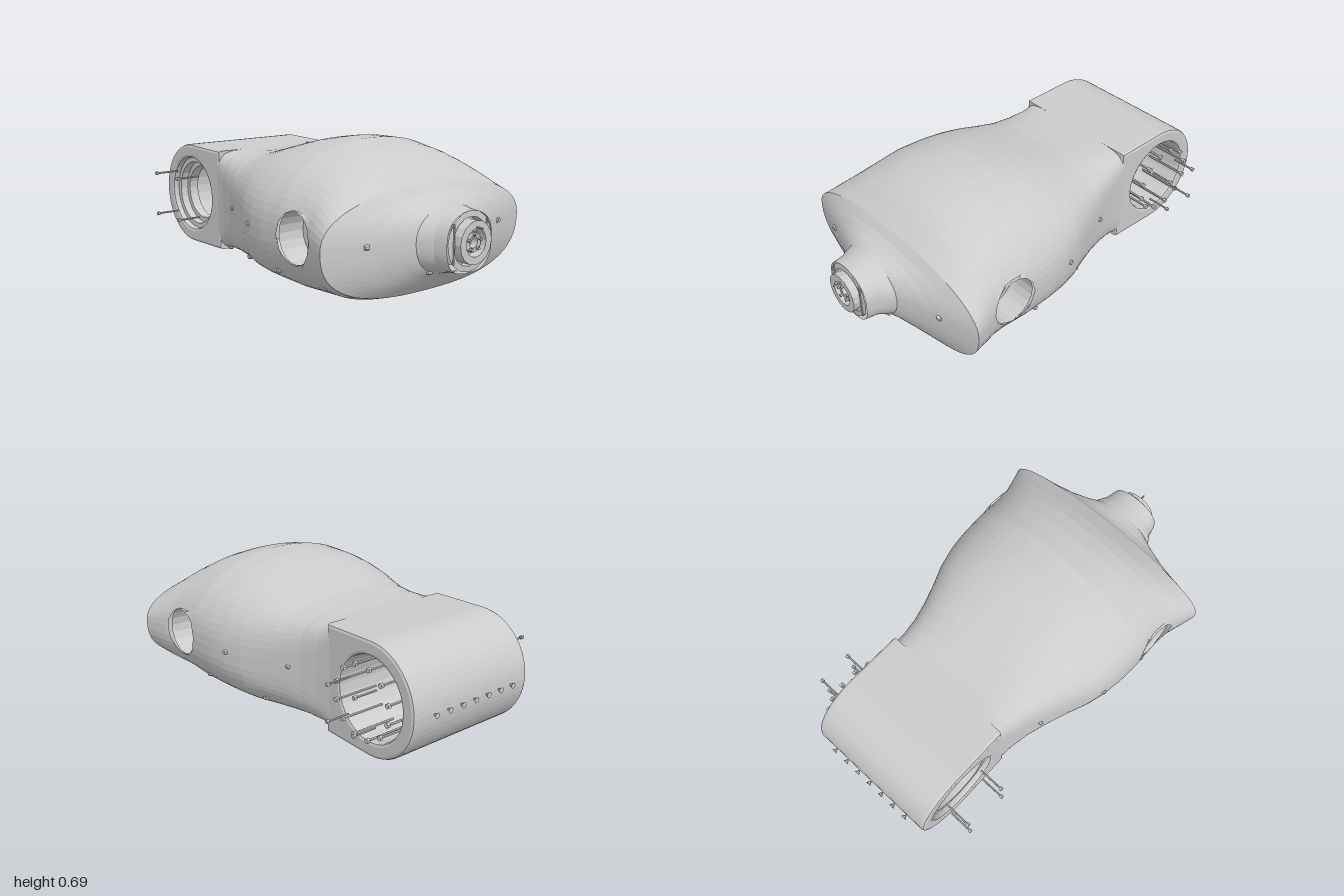
import * as THREE from 'three';

const material = new THREE.MeshStandardMaterial({ color: 0xcccccc, flatShading: true, side: THREE.DoubleSide });
const MID = 0.325;
const HIP = { x: -0.72, y: 0.32 };
const SHOULDER = { x: 0.44, y: MID, r: 0.115 };

// torso stations: x, bottom, top, half depth, squareness
const STATIONS = [
  [-0.48, 0.065, 0.575, 0.338, 9], [-0.4, 0.065, 0.573, 0.35, 5.5], [-0.3, 0.055, 0.58, 0.375, 4],
  [-0.2, 0.04, 0.592, 0.41, 3.2], [-0.1, 0.028, 0.62, 0.45, 2.8], [0, 0.015, 0.65, 0.495, 2.5],
  [0.1, 0.008, 0.677, 0.525, 2.3], [0.2, 0.004, 0.693, 0.54, 2.2], [0.33, 0.003, 0.695, 0.545, 2.2],
  [0.46, 0.01, 0.67, 0.542, 2.2], [0.54, 0.018, 0.64, 0.55, 2.2], [0.6, 0.028, 0.605, 0.568, 2.2],
  [0.69, 0.06, 0.535, 0.597, 2.2], [0.72, 0.085, 0.5, 0.48, 2.1], [0.75, 0.11, 0.482, 0.36, 2],
  [0.78, 0.14, 0.472, 0.265, 2], [0.81, 0.165, 0.465, 0.19, 2], [0.87, 0.186, 0.456, 0.15, 2.2],
  [0.93, 0.19, 0.45, 0.135, 2.4],
];

function station(x) {
  let k = 0;
  while (k < STATIONS.length - 2 && STATIONS[k + 1][0] < x) k++;
  const a = STATIONS[k], b = STATIONS[k + 1];
  const t = THREE.MathUtils.clamp((x - a[0]) / (b[0] - a[0]), 0, 1);
  return a.map((v, i) => THREE.MathUtils.lerp(v, b[i], t));
}

function surfacePoint(x, angle) {
  const [, bottom, top, depth, n] = station(x);
  const c = Math.cos(angle), s = Math.sin(angle);
  const e = 2 / (s < 0 ? n + 0.35 : n);
  const power = (v) => Math.sign(v) * Math.pow(Math.abs(v), e);
  return new THREE.Vector3(x, MID + power(s) * (s < 0 ? MID - bottom : top - MID), depth * power(c));
}

function add(parent, name, geometry, x = 0, y = 0, z = 0) {
  const mesh = new THREE.Mesh(geometry, material);
  mesh.name = name;
  mesh.position.set(x, y, z);
  parent.add(mesh);
  return mesh;
}

// lofted shell, opened where the shoulder sockets pass through
function torsoGeometry() {
  const rows = 47, segments = 64;
  const positions = [], inside = [], index = [];
  for (let i = 0; i <= rows; i++) {
    for (let j = 0; j < segments; j++) {
      const p = surfacePoint(-0.48 + i * 0.03, (j / segments) * Math.PI * 2);
      const dx = p.x - SHOULDER.x, dy = p.y - SHOULDER.y;
      const r = Math.hypot(dx, dy);
      const cut = r < SHOULDER.r && Math.abs(p.z) > 0.3;
      if (cut) {
        p.x = SHOULDER.x + (dx / r) * SHOULDER.r;
        p.y = SHOULDER.y + (dy / r) * SHOULDER.r;
      }
      inside.push(cut);
      positions.push(p.x, p.y, p.z);
    }
  }
  for (let i = 0; i < rows; i++) {
    for (let j = 0; j < segments; j++) {
      const a = i * segments + j, d = i * segments + ((j + 1) % segments);
      const b = a + segments, c = d + segments;
      if ([a, b, c, d].every((v) => inside[v])) continue;
      index.push(a, b, c, a, c, d);
    }
  }
  const indexed = new THREE.BufferGeometry();
  indexed.setAttribute('position', new THREE.Float32BufferAttribute(positions, 3));
  indexed.setIndex(index);
  const geometry = indexed.toNonIndexed();
  geometry.computeVertexNormals();
  return geometry;
}

// lathe whose profile is [radius, distance along z]
function latheZ(profile, segments) {
  const points = profile.map(([r, z]) => new THREE.Vector2(r, z));
  return new THREE.LatheGeometry(points, segments).rotateX(Math.PI / 2);
}

// screw along z: head at the +z end
function screw(parent, name, x, y, z0, z1, radius, headOnBack) {
  const length = z1 - z0;
  add(parent, name, new THREE.CylinderGeometry(radius, radius, length, 6).rotateX(Math.PI / 2), x, y, (z0 + z1) / 2);
  add(parent, name + 'Head', new THREE.CylinderGeometry(radius * 2, radius * 2, 0.014, 6).rotateX(Math.PI / 2),
    x, y, headOnBack ? z0 + 0.007 : z1 - 0.007);
}

function createHip() {
  const hip = new THREE.Group();
  hip.name = 'hip';

  // block with a round end and a wide bore
  const b = 0.015;
  const shape = new THREE.Shape();
  shape.moveTo(-0.46, 0.066 + b);
  shape.lineTo(-0.46, 0.574 - b);
  shape.lineTo(HIP.x, 0.58 - b);
  shape.absarc(HIP.x, HIP.y, 0.26 - b, Math.PI / 2, Math.PI * 1.5, false);
  const bore = new THREE.Path();
  bore.absarc(HIP.x, HIP.y, 0.19 + b, 0, Math.PI * 2, true);
  shape.holes.push(bore);
  const block = new THREE.ExtrudeGeometry(shape, {
    depth: 0.65, curveSegments: 14, bevelSize: b, bevelThickness: b, bevelSegments: 2,
  });
  add(hip, 'hipBlock', block, 0, 0, -0.325);

  // stepped bearing seat at the front of the bore
  add(hip, 'bearingSeat', latheZ([[0.19, 0.31], [0.165, 0.31], [0.165, 0.27], [0.14, 0.27],
    [0.14, 0.22], [0.188, 0.22]], 24), HIP.x, HIP.y);

  // ring of bolts on the back
  for (let i = 0; i < 12; i++) {
    const a = ((i + 0.5) / 12) * Math.PI * 2;
    screw(hip, 'boreBolt', HIP.x + 0.163 * Math.cos(a), HIP.y + 0.163 * Math.sin(a), -0.39, -0.16, 0.006, true);
  }
  // long screws on the front and the back
  for (const sx of [-1, 1]) {
    for (const sy of [-1, 1]) {
      screw(hip, 'backScrew', HIP.x + sx * 0.083, HIP.y + sy * 0.083, -0.5, -0.38, 0.005, true);
      screw(hip, 'frontScrew', HIP.x + sx * 0.108, HIP.y + sy * 0.108, 0.36, 0.49, 0.005, false);
    }
  }
  // row of studs across the round end
  for (let i = -3; i <= 3; i++) {
    const stud = add(hip, 'endStud', new THREE.ConeGeometry(0.014, 0.022, 6), -0.989, HIP.y, i * 0.0765);
    stud.rotation.z = -Math.PI / 2;
  }
  return hip;
}

function createNeck() {
  const neck = new THREE.Group();
  neck.name = 'neck';
  const profile = (points, segments) => latheZ(points, segments).rotateY(Math.PI / 2);
  // recessed collar, inner ring and hub
  add(neck, 'neckCollar', profile([[0.132, 0.93], [0.105, 0.932], [0.105, 0.89], [0.03, 0.89]], 16), 0, MID);
  add(neck, 'neckRing', profile([[0.094, 0.89], [0.094, 0.965], [0.06, 0.965], [0.06, 0.92],
    [0.045, 0.92], [0.045, 0.95], [0.025, 0.95], [0.025, 0.92], [0, 0.92]], 16), 0, MID);
  for (let i = 0; i < 5; i++) {
    const a = (i / 5) * Math.PI * 2 + Math.PI / 2;
    const screwHead = new THREE.CylinderGeometry(0.007, 0.007, 0.02, 6).rotateZ(Math.PI / 2);
    add(neck, 'neckScrew', screwHead, 0.955, MID + 0.035 * Math.sin(a), 0.035 * Math.cos(a));
  }
  add(neck, 'neckPin', new THREE.CylinderGeometry(0.004, 0.004, 0.08, 6).rotateZ(Math.PI / 2), 0.96, 0.39, 0);
  // flat rails at both sides of the ring
  for (const side of [-1, 1]) add(neck, 'neckRail', new THREE.BoxGeometry(0.04, 0.17, 0.006), 0.915, MID, side * 0.098);
  return neck;
}

export function createModel() {
  const model = new THREE.Group();
  model.name = 'torso';
  add(model, 'torsoShell', torsoGeometry());
  model.add(createHip(), createNeck());

  for (const side of [-1, 1]) {
    // shoulder socket with a small through hole
    const cup = latheZ([[SHOULDER.r, 0.53], [SHOULDER.r, 0.4], [0.016, 0.4]], 20);
    if (side < 0) cup.rotateY(Math.PI);
    add(model, 'shoulderSocket', cup, SHOULDER.x, SHOULDER.y);

    // seam studs along the flank, given by x and angle
    for (const [x, angle] of [[-0.24, 0], [0.08, 0], [0.74, 0], [-0.08, -0.6], [0.27, -0.5], [-0.42, -0.95], [0.81, -1]]) {
      const p = surfacePoint(x, angle);
      add(model, 'seamStud', new THREE.CylinderGeometry(0.01, 0.014, 0.02, 6).rotateX(side * Math.PI / 2),
        p.x, p.y, side * p.z);
    }
  }
  return model;
}
